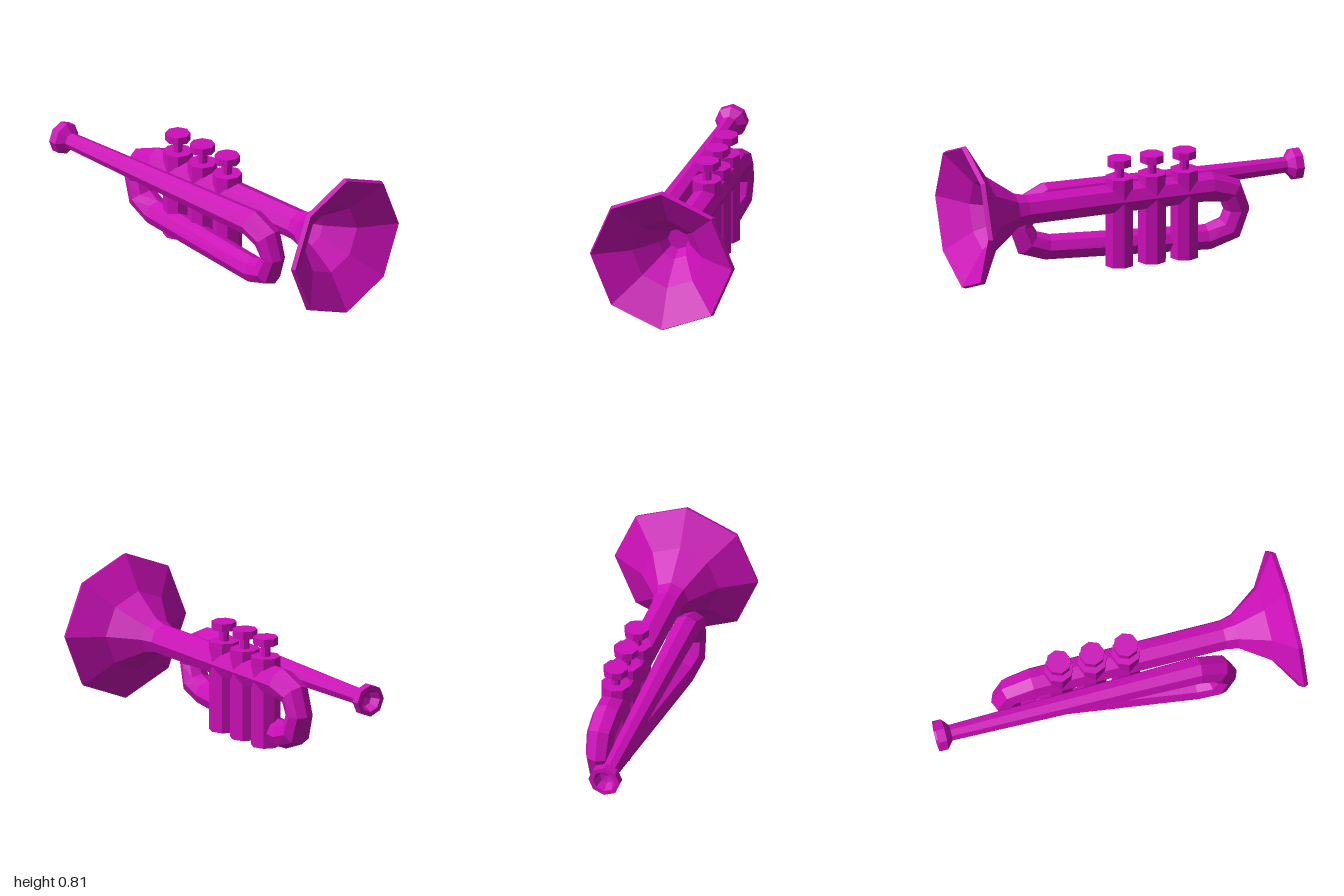
import * as THREE from 'three';

const SIDES = 8;

// Octagonal tube swept through stations [x, y, z, radius]
function sweep(stations) {
  const centres = stations.map(s => new THREE.Vector3(s[0], s[1], s[2]));
  const pos = [], index = [];
  centres.forEach((c, i) => {
    const before = centres[Math.max(i - 1, 0)];
    const after = centres[Math.min(i + 1, centres.length - 1)];
    const inDir = c.clone().sub(before).normalize();
    const outDir = after.clone().sub(c).normalize();
    const t = inDir.add(outDir).normalize();
    const n = new THREE.Vector3(0, 0, 1).addScaledVector(t, -t.z).normalize();
    const b = t.clone().cross(n);
    for (let j = 0; j < SIDES; j++) {
      const a = j / SIDES * Math.PI * 2, r = stations[i][3];
      const p = c.clone().addScaledVector(n, r * Math.cos(a)).addScaledVector(b, r * Math.sin(a));
      pos.push(p.x, p.y, p.z);
      if (i < centres.length - 1) {
        const k = i * SIDES + j, m = i * SIDES + (j + 1) % SIDES;
        index.push(k, m, k + SIDES, m, m + SIDES, k + SIDES);
      }
    }
  });
  const geo = new THREE.BufferGeometry();
  geo.setAttribute('position', new THREE.Float32BufferAttribute(pos, 3));
  geo.setIndex(index);
  geo.computeVertexNormals();
  return geo;
}

// Octagonal turned part lying along x, profile given as [x, radius]
function turned(profile) {
  const geo = new THREE.LatheGeometry(profile.map(([x, r]) => new THREE.Vector2(r, x)), SIDES);
  return geo.rotateZ(-Math.PI / 2);
}

export function createModel() {
  const model = new THREE.Group();
  model.name = 'trumpet';
  const material = new THREE.MeshStandardMaterial({ color: 0xcc0fb8, flatShading: true });

  function add(parent, name, geo, x = 0, y = 0, z = 0) {
    const mesh = new THREE.Mesh(geo, material);
    mesh.name = name;
    mesh.position.set(x, y, z);
    parent.add(mesh);
  }

  // One continuous pipe: lead pipe, front bend, slanting lower run, rear bend, bell pipe
  add(model, 'pipe', sweep([
    [-0.94, 0.41, 0.163, 0.045],
    [0.45, 0.408, 0.163, 0.077],
    [0.56, 0.357, 0.163, 0.077],
    [0.60, 0.257, 0.163, 0.066],
    [0.56, 0.157, 0.16, 0.077],
    [0.45, 0.122, 0.15, 0.072],
    [-0.42, 0.111, 0.022, 0.074],
    [-0.54, 0.157, 0.005, 0.078],
    [-0.578, 0.262, 0, 0.073],
    [-0.54, 0.365, 0, 0.079],
    [-0.42, 0.403, 0, 0.084],
    [0.64, 0.403, 0, 0.084],
  ]));

  // Flared bell, hollow, with a closed throat
  add(model, 'bell', turned([
    [0.635, 0.084], [0.70, 0.10], [0.863, 0.218], [0.976, 0.403], [1.0, 0.393],
    [0.88, 0.197], [0.73, 0.088], [0.66, 0.058], [0.66, 0],
  ]), 0, 0.403, 0);

  // Mouthpiece with a hollow cup
  add(model, 'mouthpiece', turned([
    [-0.94, 0], [-0.95, 0.04], [-1.0, 0.062], [-1.0, 0.088], [-0.955, 0.088], [-0.92, 0.045],
  ]), 0, 0.41, 0.163);

  // Three valves: casing, stem and button
  for (const x of [-0.278, -0.092, 0.095]) {
    const valve = new THREE.Group();
    valve.name = 'valve';
    valve.position.x = x;
    model.add(valve);
    const part = (name, r, y0, y1) =>
      add(valve, name, new THREE.CylinderGeometry(r, r, y1 - y0, SIDES), 0, (y0 + y1) / 2, 0);
    part('casing', 0.08, 0.027, 0.523);
    part('stem', 0.026, 0.52, 0.592);
    part('button', 0.068, 0.588, 0.63);
  }

  return model;
}
